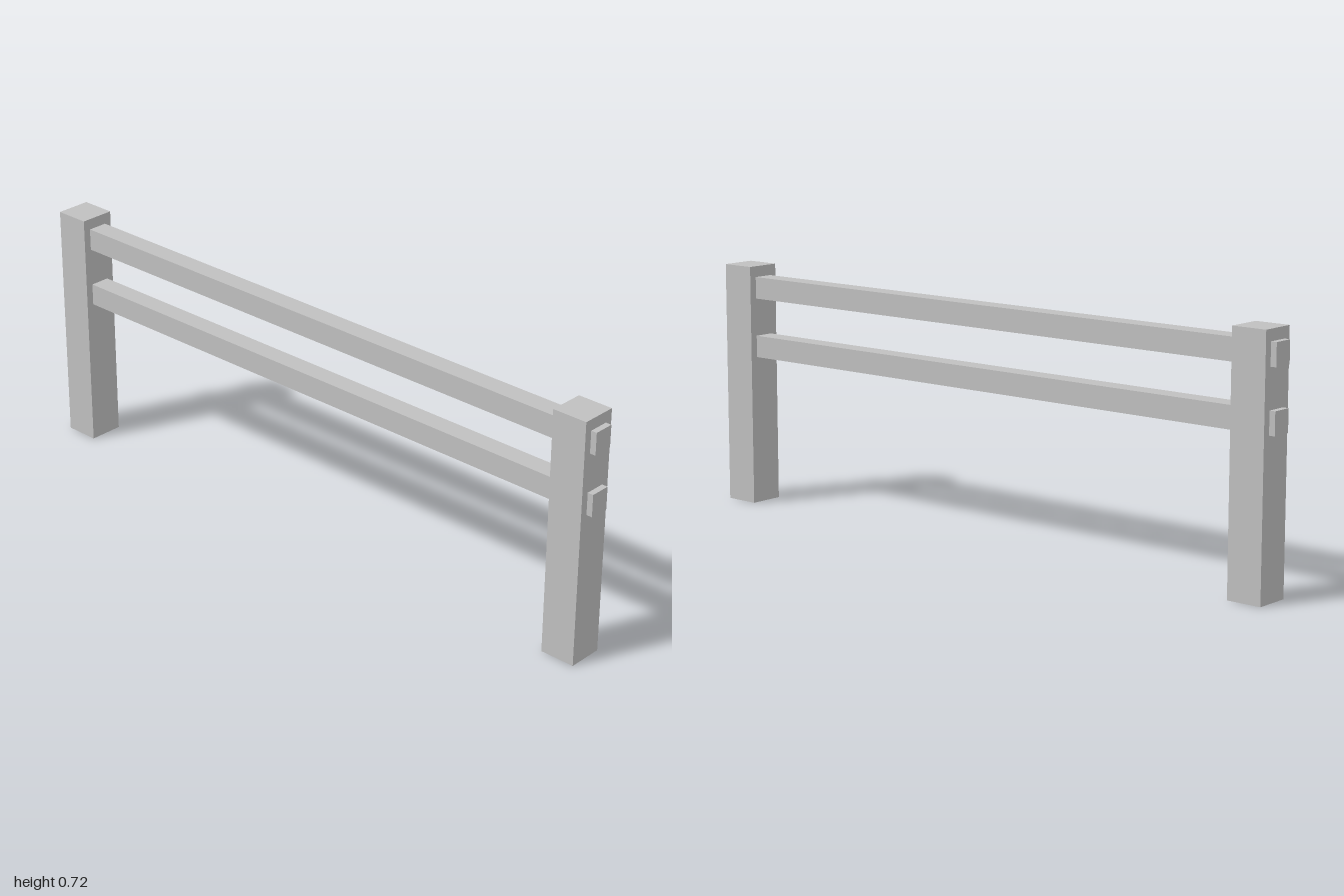
import * as THREE from 'three';

export function createModel() {
  const group = new THREE.Group();
  group.name = 'railFence';
  const grey = new THREE.MeshStandardMaterial({ name: 'plain grey', color: 0xc0c0c0 });

  const addBox = (name, w, h, d, x, y) => {
    const mesh = new THREE.Mesh(new THREE.BoxGeometry(w, h, d), grey);
    mesh.name = name;
    mesh.position.set(x, y, 0);
    group.add(mesh);
  };

  // Square posts, standing on the ground
  const postHeight = 0.722;
  for (const [name, side] of [['leftPost', 1], ['rightPost', -1]]) {
    addBox(name, 0.105, postHeight, 0.105, side * 0.93, postHeight / 2);
  }

  // Rails run through both posts and stick out slightly at the ends
  for (const [name, y] of [['upperRail', 0.657], ['lowerRail', 0.479]]) {
    addBox(name, 2, 0.065, 0.06, 0, y);
  }

  return group;
}
